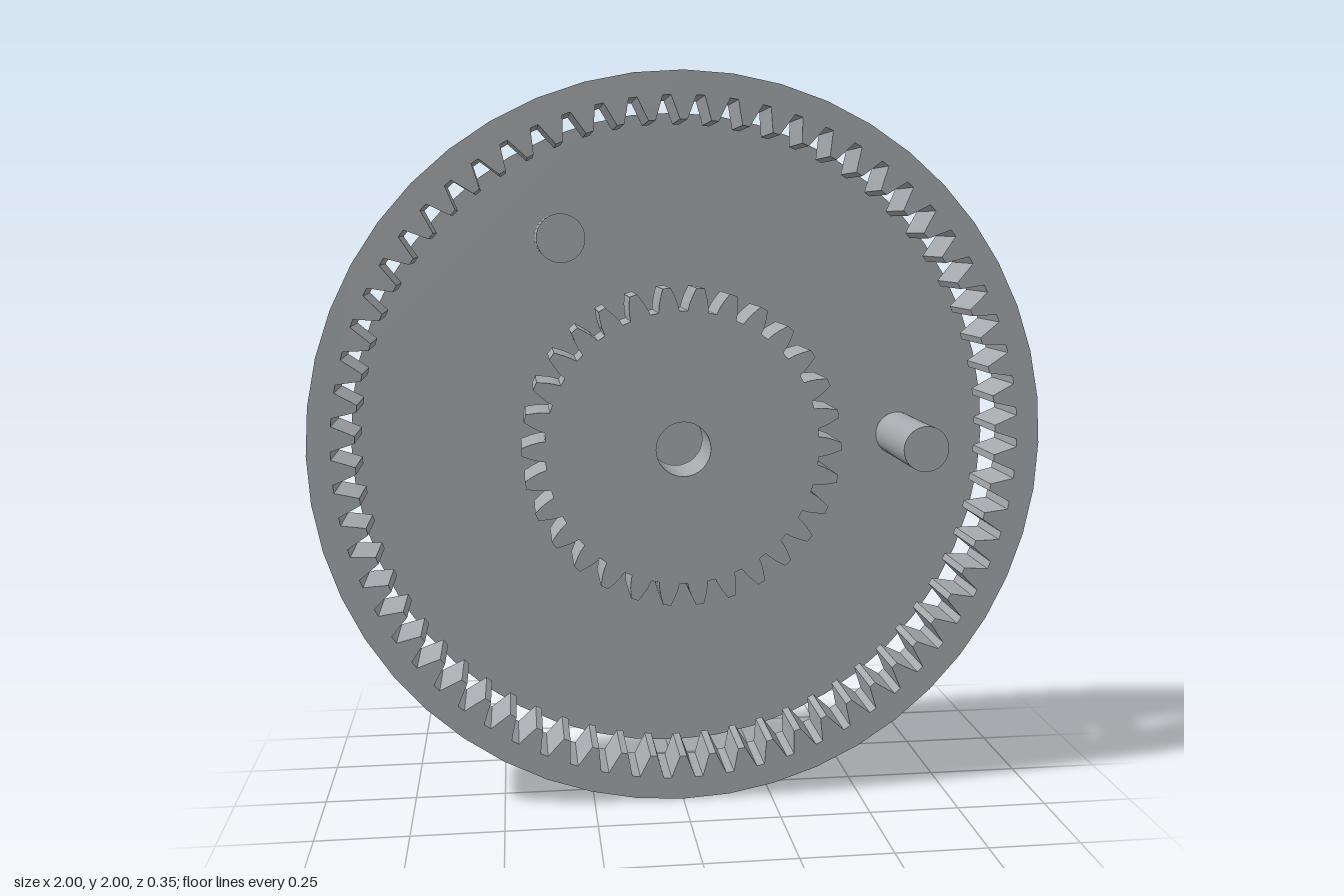
import * as THREE from 'three';
import { toCreasedNormals } from 'three/addons/utils/BufferGeometryUtils.js';

const TAU = Math.PI * 2;
const CENTRE_Y = 1;
const SEGMENTS = 48;

// Points of a circle, counter-clockwise.
function circle(radius, segments = SEGMENTS) {
  return Array.from({ length: segments }, (_, i) => {
    const a = (i / segments) * TAU;
    return new THREE.Vector2(radius * Math.cos(a), radius * Math.sin(a));
  });
}

// Gear outline: profile lists [radius, half width] from root to tip,
// with one tooth pointing along +x.
function gearOutline(teeth, profile) {
  const points = [];
  for (let i = 0; i < teeth; i++) {
    const mid = (i / teeth) * TAU;
    const add = (r, w) => {
      const a = mid + w / r;
      points.push(new THREE.Vector2(r * Math.cos(a), r * Math.sin(a)));
    };
    profile.forEach(([r, w]) => add(r, -w));
    [...profile].reverse().forEach(([r, w]) => add(r, w));
  }
  return points;
}

// Plate with an optional hole, spanning z0 to z1.
function plate(outline, hole, z0, z1) {
  const shape = new THREE.Shape(outline);
  if (hole) shape.holes.push(new THREE.Path(hole));
  const geometry = new THREE.ExtrudeGeometry(shape, { depth: z1 - z0, bevelEnabled: false });
  geometry.translate(0, 0, z0);
  return toCreasedNormals(geometry, 0.3);
}

export function createModel() {
  const model = new THREE.Group();
  const metal = new THREE.MeshStandardMaterial({ color: 0xa5a8ac });
  metal.name = 'grey metal';

  const add = (name, geometry, x = 0, y = 0, z = 0) => {
    const mesh = new THREE.Mesh(geometry, metal);
    mesh.name = name;
    mesh.position.set(x, CENTRE_Y + y, z);
    model.add(mesh);
  };

  const back = -0.083, front = 0.097;

  // Outer ring with 66 inward teeth; the hole outline is the tooth gaps.
  const ringGaps = gearOutline(66, [[0.874, 0.032], [0.902, 0.0225], [0.922, 0.016], [0.937, 0.011]]);
  add('ringGear', plate(circle(1), ringGaps, back, front));

  // Central gear with 30 teeth and a bore.
  const sunTeeth = gearOutline(30, [[0.375, 0.028], [0.393, 0.0255], [0.411, 0.0205], [0.437, 0.011]]);
  add('sunGear', plate(sunTeeth, circle(0.075, 32), back, front));

  // Carrier disc behind the gears.
  add('carrierDisc', plate(circle(0.908), null, -0.174, -0.121));

  // Two carrier pins, 120 degrees apart.
  const pinBack = -0.13, pinFront = 0.174;
  const pin = new THREE.CylinderGeometry(0.063, 0.063, pinFront - pinBack, 32).rotateX(Math.PI / 2);
  ['leftPin', 'rightPin'].forEach((name, i) => {
    const a = (i * TAU) / 3;
    add(name, pin, 0.655 * Math.cos(a), 0.655 * Math.sin(a), (pinBack + pinFront) / 2);
  });

  return model;
}
